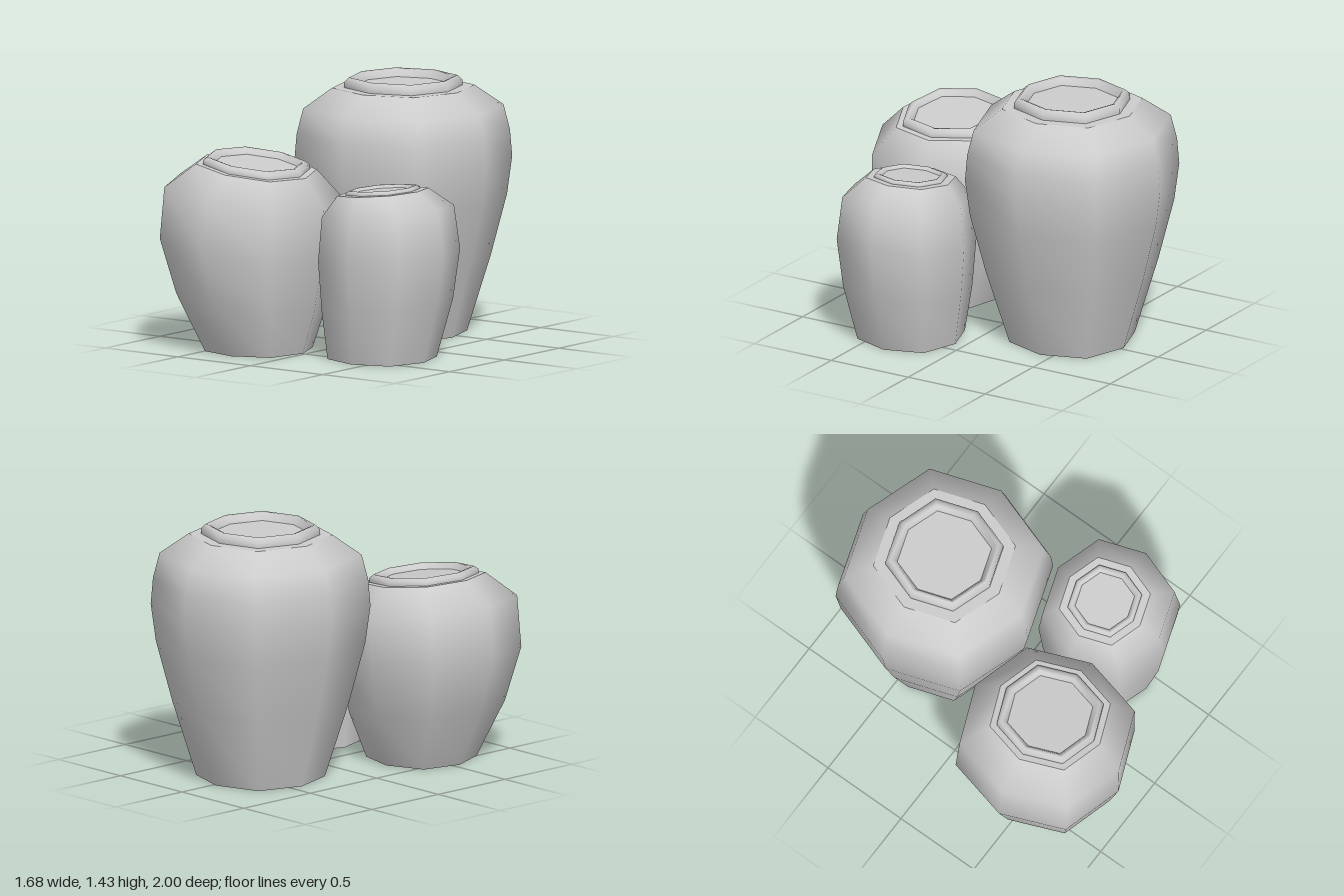
import * as THREE from 'three';
import { mergeVertices } from 'three/addons/utils/BufferGeometryUtils.js';

const SIDES = 8;
const clay = new THREE.MeshStandardMaterial({ color: 0xcccccc });
clay.name = 'grey clay';

// Eight-sided loft. Each ring is [radius, height, x shift, slope in x].
function loft(name, rings, turn) {
  const n = rings.length;
  const geo = new THREE.LatheGeometry(rings.map(([r, y]) => new THREE.Vector2(r, y)), SIDES);
  const pos = geo.attributes.position;
  for (let k = 0; k < pos.count; k++) {
    const [r, y, dx = 0, slope = 0] = rings[k % n];
    const side = Math.floor(k / n) % SIDES;
    const a = side * 2 * Math.PI / SIDES + turn;
    const rr = r * (side % 2 ? 1.06 : 1); // diagonal corners stand out a little
    const x = rr * Math.sin(a);
    pos.setXYZ(k, x + dx, y + slope * x, rr * Math.cos(a));
  }
  geo.deleteAttribute('normal');
  geo.deleteAttribute('uv');
  const smooth = mergeVertices(geo, 1e-5);
  smooth.computeVertexNormals();
  const mesh = new THREE.Mesh(smooth, clay);
  mesh.name = name;
  return mesh;
}

function jar({ name, x, z, turn = 0, slope = 0, body, neckRadius: R, neckHeight: h }) {
  const group = new THREE.Group();
  group.name = name;
  group.position.set(x, 0, z);

  // the foot stays level, everything above it leans
  const wall = body.map(([r, y, dx = 0], i) => [r, y, dx, i ? slope : 0]);
  const [topR, topY, topX] = wall[wall.length - 1];
  const ring = (r, y) => [r, topY + y, topX, slope];

  group.add(loft('body', wall, turn));
  group.add(loft('foot', [[0, 0, wall[0][2]], wall[0]], turn));
  group.add(loft('shoulder', [ring(topR, 0), ring(R * 0.98, 0)], turn));
  // rounded lip around a shallow mouth
  group.add(loft('lip', [
    ring(R, 0), ring(R, h * 0.55), ring(R * 0.92, h), ring(R * 0.86, h * 0.9), ring(R * 0.8, h * 0.2),
  ], turn));
  group.add(loft('mouth', [ring(R * 0.8, h * 0.2), ring(0, h * 0.2)], turn));
  return group;
}

export function createModel() {
  const model = new THREE.Group();
  model.name = 'jars';

  const jars = [
    {
      name: 'largeJar', x: -0.02, z: -0.428, neckRadius: 0.31, neckHeight: 0.056,
      body: [[0.335, 0], [0.46, 0.42], [0.545, 0.76], [0.572, 0.97], [0.56, 1.12], [0.526, 1.26], [0.374, 1.372]],
    },
    {
      name: 'mediumJar', x: -0.368, z: 0.52, turn: 0.08, slope: -0.12, neckRadius: 0.285, neckHeight: 0.042,
      body: [[0.287, 0, 0.066], [0.405, 0.29, 0.02], [0.477, 0.59, 0], [0.468, 0.88, 0.02], [0.322, 1.018, 0.048]],
    },
    {
      name: 'smallJar', x: 0.465, z: 0.345, slope: 0.1, neckRadius: 0.195, neckHeight: 0.022,
      body: [[0.287, 0, -0.048], [0.345, 0.3, -0.012], [0.373, 0.58, 0], [0.347, 0.825, -0.008], [0.24, 0.927, -0.043]],
    },
  ];
  for (const spec of jars) model.add(jar(spec));
  return model;
}
